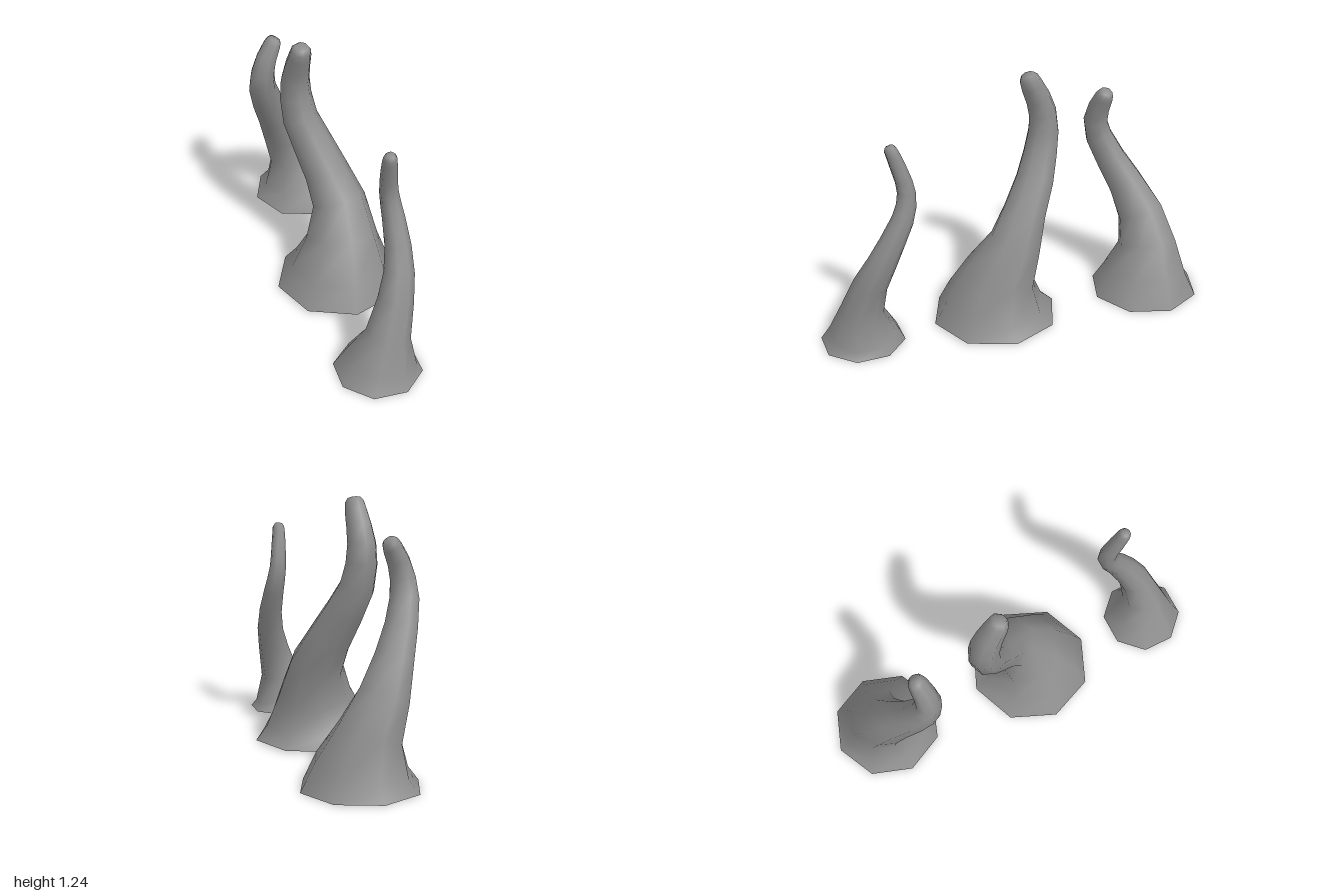
import * as THREE from 'three';

const SIDES = 8;
const UP = new THREE.Vector3(0, 1, 0);

// Each row is one cross-section along the curve: x, y, z of its centre, radius
const FRONT = [
  [-0.017, 0, 0.805, 0.21], [0.003, 0.07, 0.808, 0.165], [0.028, 0.2, 0.81, 0.105],
  [0.073, 0.36, 0.77, 0.083], [0.102, 0.47, 0.72, 0.071], [0.112, 0.58, 0.665, 0.061],
  [0.108, 0.69, 0.607, 0.053], [0.1, 0.76, 0.583, 0.048], [0.092, 0.82, 0.577, 0.044],
  [0.086, 0.88, 0.586, 0.041], [0.079, 0.95, 0.607, 0.038], [0.074, 1.01, 0.626, 0.034],
  [0.072, 1.04, 0.637, 0.031], [0.07, 1.056, 0.642, 0.021],
];
const MIDDLE = [
  [0, 0.008, 0.115, 0.321], [0.008, 0.1, 0.12, 0.258], [0.022, 0.25, 0.09, 0.186],
  [0.03, 0.41, 0.012, 0.137], [-0.016, 0.55, -0.055, 0.113], [-0.07, 0.69, -0.13, 0.1],
  [-0.115, 0.81, -0.177, 0.089], [-0.13, 0.925, -0.2, 0.08], [-0.132, 1.02, -0.195, 0.072],
  [-0.127, 1.1, -0.168, 0.064], [-0.122, 1.17, -0.134, 0.056], [-0.12, 1.21, -0.117, 0.049],
  [-0.12, 1.23, -0.11, 0.033],
];
const BACK = [
  [0.038, 0, -0.72, 0.281], [0.032, 0.1, -0.725, 0.223], [0.002, 0.25, -0.745, 0.155],
  [-0.065, 0.4, -0.73, 0.123], [-0.13, 0.55, -0.67, 0.096], [-0.185, 0.68, -0.604, 0.081],
  [-0.22, 0.8, -0.549, 0.072], [-0.22, 0.89, -0.527, 0.063], [-0.196, 0.97, -0.533, 0.055],
  [-0.163, 1.035, -0.543, 0.047], [-0.15, 1.058, -0.547, 0.04], [-0.141, 1.071, -0.549, 0.026],
];

// Skins octagonal rings set square to the centre line; open below, capped at the tip
function tentacleGeometry(rows, phase) {
  const centres = rows.map(([x, y, z]) => new THREE.Vector3(x, y, z));
  const last = rows.length - 1;
  const pos = [], index = [];
  const turn = new THREE.Quaternion(), p = new THREE.Vector3();

  rows.forEach((row, k) => {
    const tangent = centres[Math.min(k + 1, last)].clone().sub(centres[Math.max(k - 1, 0)]).normalize();
    // The foot lies flat on the ground
    turn.setFromUnitVectors(UP, k === 0 ? UP : tangent);
    for (let i = 0; i < SIDES; i++) {
      const a = phase + (i / SIDES) * Math.PI * 2;
      p.set(Math.cos(a) * row[3], 0, Math.sin(a) * row[3]).applyQuaternion(turn).add(centres[k]);
      pos.push(p.x, p.y, p.z);
    }
  });
  pos.push(...centres[last].toArray());

  for (let k = 0; k <= last; k++) {
    for (let i = 0; i < SIDES; i++) {
      const a = k * SIDES + i, b = k * SIDES + ((i + 1) % SIDES);
      if (k === last) index.push(a, rows.length * SIDES, b);
      else index.push(a, a + SIDES, b, b, a + SIDES, b + SIDES);
    }
  }

  const geometry = new THREE.BufferGeometry();
  geometry.setAttribute('position', new THREE.Float32BufferAttribute(pos, 3));
  geometry.setIndex(index);
  geometry.computeVertexNormals();
  return geometry;
}

export function createModel() {
  const group = new THREE.Group();
  group.name = 'tentacles';
  const material = new THREE.MeshStandardMaterial({ color: 0x8d8d8d, side: THREE.DoubleSide });

  const parts = [
    ['frontTentacle', FRONT, Math.PI / 8],
    ['middleTentacle', MIDDLE, 0],
    ['backTentacle', BACK, -0.07],
  ];
  for (const [name, rows, phase] of parts) {
    const mesh = new THREE.Mesh(tentacleGeometry(rows, phase), material);
    mesh.name = name;
    group.add(mesh);
  }
  return group;
}
